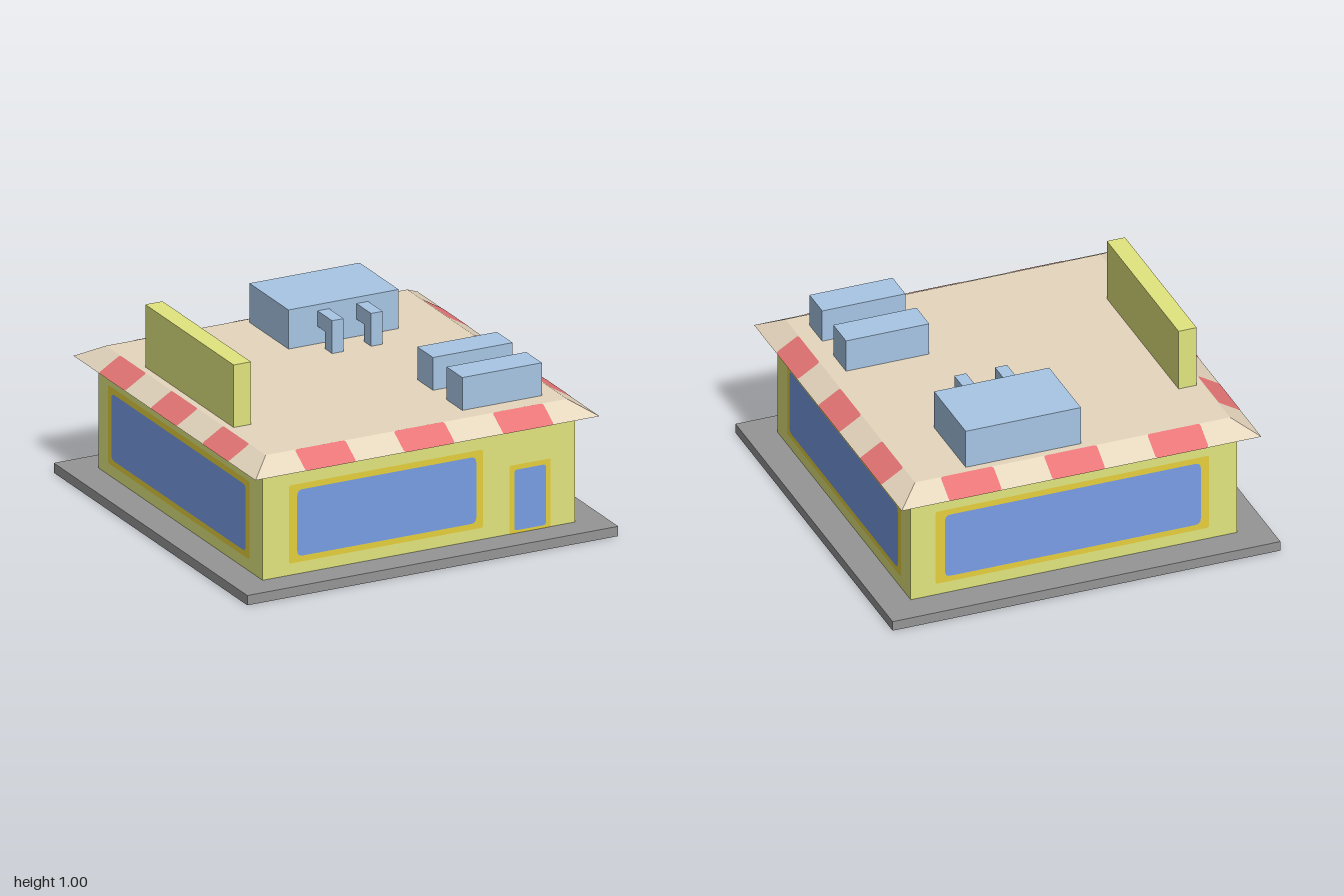
import * as THREE from 'three';

const paint = (name, color, side = THREE.FrontSide) => {
  const m = new THREE.MeshStandardMaterial({ color, side });
  m.name = name;
  return m;
};

// Rounded rectangle centred on the origin
function roundedRect(w, h, r) {
  const x = w / 2, y = h / 2, s = new THREE.Shape();
  s.moveTo(-x + r, -y);
  s.lineTo(x - r, -y); s.quadraticCurveTo(x, -y, x, -y + r);
  s.lineTo(x, y - r); s.quadraticCurveTo(x, y, x - r, y);
  s.lineTo(-x + r, y); s.quadraticCurveTo(-x, y, -x, y - r);
  s.lineTo(-x, -y + r); s.quadraticCurveTo(-x, -y, -x + r, -y);
  return s;
}

// Rectangular loop of corners at height y
const loop = (x0, x1, z0, z1, y) => [[x0, y, z1], [x1, y, z1], [x1, y, z0], [x0, y, z0]];

// Open-bottomed sheet: four sides between two loops, with a flat top if capped
function shellGeometry(bottom, top, capped) {
  const pos = [];
  const quad = (a, b, c, d) => [a, b, c, a, c, d].forEach(p => pos.push(...p));
  for (let i = 0; i < 4; i++) {
    const j = (i + 1) % 4;
    quad(bottom[i], bottom[j], top[j], top[i]);
  }
  if (capped) quad(...top);
  const g = new THREE.BufferGeometry();
  g.setAttribute('position', new THREE.Float32BufferAttribute(pos, 3));
  g.computeVertexNormals();
  return g;
}

export function createModel() {
  const model = new THREE.Group();
  model.name = 'shop';

  const wall = paint('wallGreen', 0xe1e57e, THREE.DoubleSide);
  const trim = paint('frameYellow', 0xe5cf3e);
  const glass = paint('glassBlue', 0x789de5);
  const tan = paint('roofTan', 0xe5d6bd, THREE.DoubleSide);
  const red = paint('awningRed', 0xe87677, THREE.DoubleSide);
  const metal = paint('unitBlue', 0xa7c6e5);
  const ground = paint('pavingGrey', 0x959595, THREE.DoubleSide);

  const add = (name, geometry, material, parent = model) => {
    const mesh = new THREE.Mesh(geometry, material);
    mesh.name = name;
    parent.add(mesh);
    return mesh;
  };
  const box = (name, mat, [x0, x1], [y0, y1], [z0, z1], parent) => {
    const mesh = add(name, new THREE.BoxGeometry(x1 - x0, y1 - y0, z1 - z0), mat, parent);
    mesh.position.set((x0 + x1) / 2, (y0 + y1) / 2, (z0 + z1) / 2);
  };
  // Flat painted face lying just in front of its surface
  const panel = (name, mat, [x0, x1], [y0, y1], r, z, parent) => {
    const mesh = add(name, new THREE.ShapeGeometry(roundedRect(x1 - x0, y1 - y0, r), 4), mat, parent);
    mesh.position.set((x0 + x1) / 2, (y0 + y1) / 2, z);
  };

  // Hollow paving, open underneath
  add('paving', shellGeometry(loop(-1, 1, -1, 1, 0), loop(-1, 1, -1, 1, 0.05), true), ground);

  // Wall sheets, reaching slightly through the paving
  const plan = [-0.841, 0.843, -0.842, 0.853];
  add('walls', shellGeometry(loop(...plan, 0.034), loop(...plan, 0.61), false), wall);

  // Hollow roof with sloping eaves
  add('roof', shellGeometry(
    loop(-0.93, 0.925, -0.93, 0.95, 0.61),
    loop(-0.815, 0.81, -0.815, 0.835, 0.68), true), tan);

  // Each side: wall and mid-eave distances, spans of window frame and glass, shift of eave patches
  const sides = [
    { name: 'front', wallAt: 0.853, eaveAt: 0.8925, frame: [-0.70, 0.347], pane: [-0.656, 0.31], shift: 0.01 },
    { name: 'right', wallAt: 0.843, eaveAt: 0.8675, frame: [-0.73, 0.72], pane: [-0.695, 0.685], shift: 0 },
    { name: 'back', wallAt: 0.842, eaveAt: 0.8725, frame: [-0.715, 0.695], pane: [-0.667, 0.652], shift: -0.01 },
    { name: 'left', wallAt: 0.841, eaveAt: 0.8725, frame: [-0.74, 0.72], pane: [-0.704, 0.684], shift: 0 },
  ];
  const tilt = Math.atan2(0.115, 0.07);

  sides.forEach((s, i) => {
    const side = new THREE.Group();
    side.name = s.name + 'Side';
    side.rotation.y = i * Math.PI / 2;
    model.add(side);

    panel('windowFrame', trim, s.frame, [0.11, 0.51], 0.012, s.wallAt + 0.0015, side);
    panel('windowGlass', glass, s.pane, [0.14, 0.48], 0.03, s.wallAt + 0.003, side);
    if (s.name === 'front') {
      panel('doorFrame', trim, [0.49, 0.71], [0.05, 0.40], 0.008, s.wallAt + 0.0015, side);
      panel('doorGlass', glass, [0.515, 0.685], [0.065, 0.375], 0.015, s.wallAt + 0.003, side);
    }

    // Red patches on both faces of the sloping eave
    const eave = new THREE.Group();
    eave.name = 'eavePatches';
    eave.position.set(s.shift, 0.645, s.eaveAt);
    eave.rotation.x = -tilt;
    side.add(eave);
    for (const x of [-0.533, 0, 0.533]) {
      for (const z of [0.0015, -0.0015]) panel('patch', red, [x - 0.136, x + 0.136], [-0.067, 0.067], 0.014, z, eave);
    }
  });

  // Upright board on the roof
  box('roofBoard', wall, [-0.78, -0.687], [0.68, 1.0], [-0.476, 0.437]);

  // Large roof unit with two bent ducts
  box('largeUnit', metal, [-0.062, 0.532], [0.68, 0.88], [-0.775, -0.372]);
  for (const x of [0.095, 0.305]) {
    const duct = new THREE.Group();
    duct.name = 'duct';
    model.add(duct);
    box('ductTop', metal, [x, x + 0.062], [0.768, 0.848], [-0.372, -0.222], duct);
    box('ductDrop', metal, [x, x + 0.062], [0.68, 0.768], [-0.295, -0.222], duct);
  }

  // Two small roof units
  for (const z of [0.275, 0.578]) box('smallUnit', metal, [0.295, 0.724], [0.68, 0.848], [z, z + 0.162]);

  return model;
}
